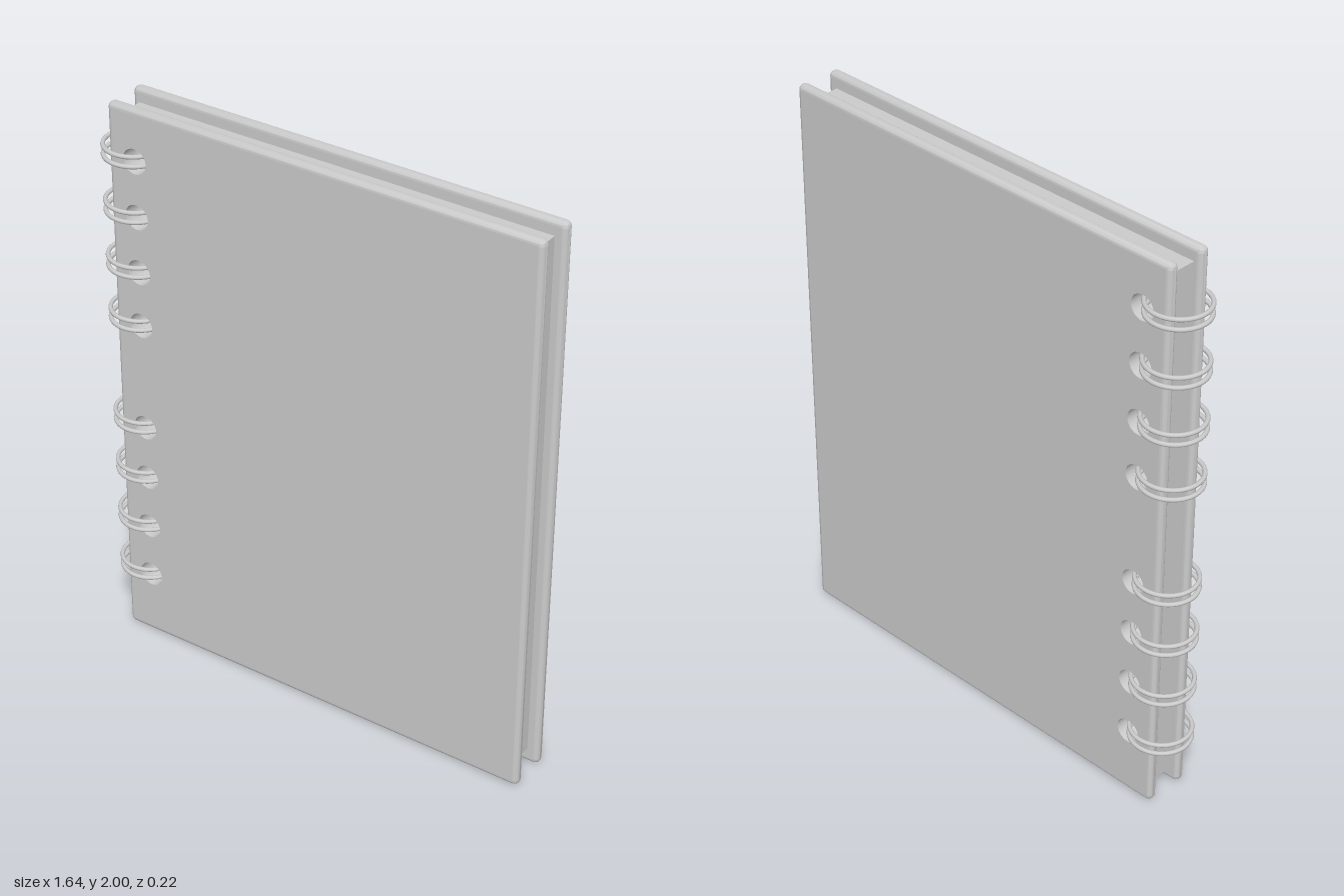
import * as THREE from 'three';
import { toCreasedNormals } from 'three/addons/utils/BufferGeometryUtils.js';

const HOLE_X = -0.65, HOLE_R = 0.044;
const HOLE_YS = [0.24, 0.44, 0.638, 0.835, 1.227, 1.424, 1.623, 1.82];
const material = new THREE.MeshStandardMaterial({ color: 0xcccccc });

// Sheet outline with the binding holes; r rounds the corners
function sheetShape(x0, x1, y0, y1, r) {
  const s = new THREE.Shape();
  if (r > 0) {
    s.absarc(x1 - r, y0 + r, r, -Math.PI / 2, 0);
    s.absarc(x1 - r, y1 - r, r, 0, Math.PI / 2);
    s.absarc(x0 + r, y1 - r, r, Math.PI / 2, Math.PI);
    s.absarc(x0 + r, y0 + r, r, Math.PI, Math.PI * 1.5);
  } else {
    s.moveTo(x0, y0).lineTo(x1, y0).lineTo(x1, y1).lineTo(x0, y1).closePath();
  }
  for (const y of HOLE_YS) {
    s.holes.push(new THREE.Path().absarc(HOLE_X, y, HOLE_R, 0, Math.PI * 2, true));
  }
  return s;
}

// Cover board: rounded outer edges, straight-walled holes
function coverGeometry() {
  const bevel = 0.018;
  const geo = new THREE.ExtrudeGeometry(sheetShape(-0.752, 0.815, 0, 2, 0.02), {
    depth: 0.002, curveSegments: 12, bevelEnabled: true, bevelSegments: 6,
    bevelThickness: bevel, bevelSize: bevel, bevelOffset: -bevel,
  });
  geo.translate(0, 0, -0.001);
  const p = geo.attributes.position;
  for (let i = 0; i < p.count; i++) {
    for (const y of HOLE_YS) {
      const dx = p.getX(i) - HOLE_X, dy = p.getY(i) - y, d = Math.hypot(dx, dy);
      if (d < HOLE_R + bevel + 0.004) {
        p.setXY(i, HOLE_X + dx * HOLE_R / d, y + dy * HOLE_R / d);
      }
    }
  }
  const out = toCreasedNormals(geo, 0.6);
  // Keep the large faces evenly flat
  const q = out.attributes.position, n = out.attributes.normal;
  for (let i = 0; i < q.count; i += 3) {
    const z = q.getZ(i);
    if (Math.abs(z) > 0.0189 && q.getZ(i + 1) === z && q.getZ(i + 2) === z) {
      for (let k = 0; k < 3; k++) n.setXYZ(i + k, 0, 0, Math.sign(z));
    }
  }
  return out;
}

export function createModel() {
  const model = new THREE.Group();
  model.name = 'spiralNotebook';
  const add = (name, geo, x, y, z) => {
    const mesh = new THREE.Mesh(geo, material);
    mesh.name = name;
    mesh.position.set(x, y, z);
    model.add(mesh);
    return mesh;
  };

  // Covers
  const cover = coverGeometry();
  add('frontCover', cover, 0, 0, 0.065);
  add('backCover', cover, 0, 0, -0.065);

  // Page block
  const pages = new THREE.ExtrudeGeometry(sheetShape(-0.725, 0.775, 0.055, 1.95, 0), {
    depth: 0.092, curveSegments: 12, bevelEnabled: false,
  });
  pages.translate(0, 0, -0.046);
  add('pageBlock', toCreasedNormals(pages, 0.6), 0, 0, 0);

  // Paired wire rings through each hole
  const ring = new THREE.TorusGeometry(0.1, 0.0075, 10, 48);
  ring.rotateX(Math.PI / 2);
  for (const y of HOLE_YS) {
    for (const side of [-1, 1]) add('bindingRing', ring, -0.714, y - 0.004 + side * 0.017, 0);
  }
  return model;
}
